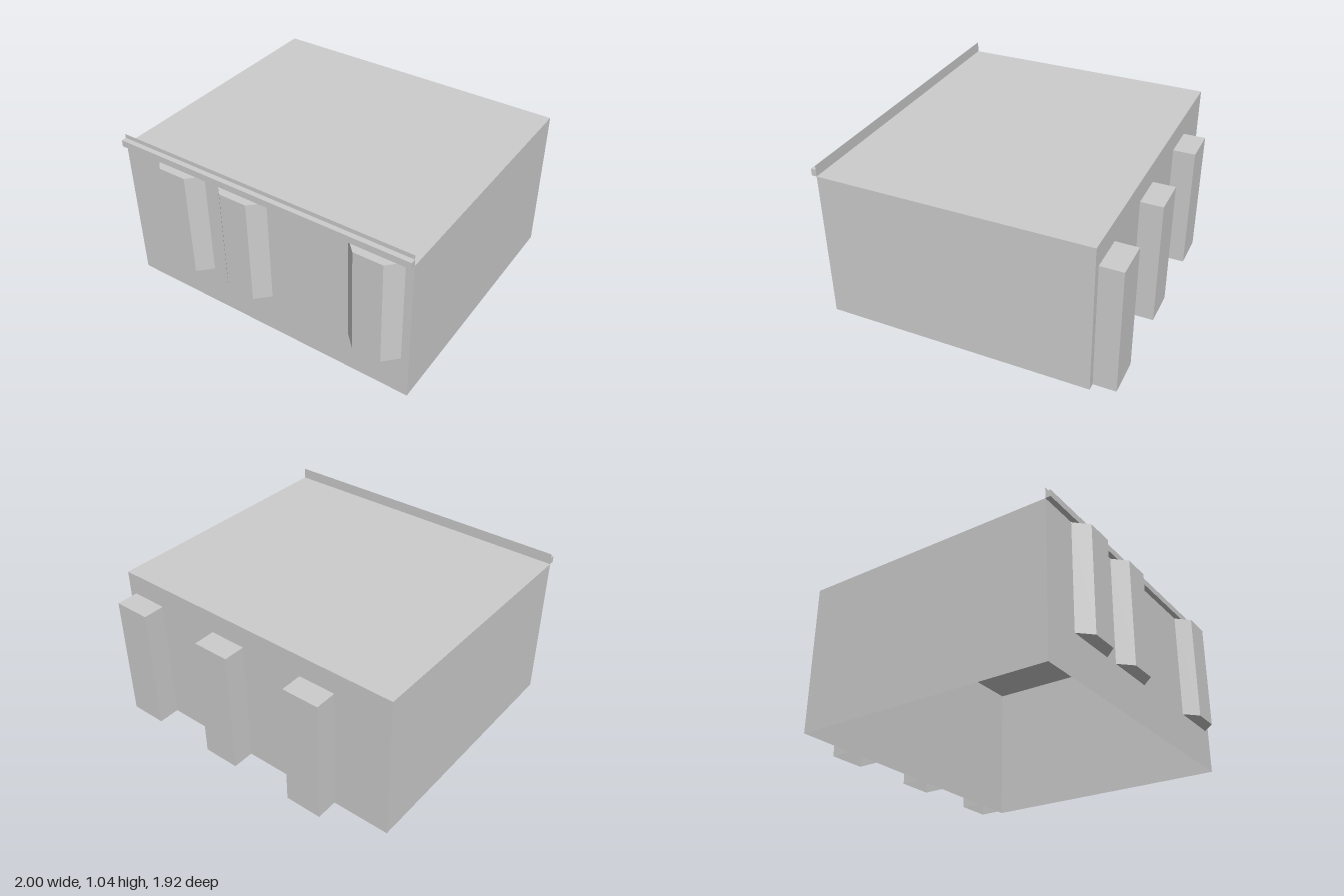
import * as THREE from 'three';

const WALL_TOP = 0.967, FRONT = 0.877, BACK = -0.818;

// Box given by its limits, leaving out the named sides (0 +x, 1 -x, 2 +y, 3 -y, 4 +z, 5 -z)
function openBox(x0, x1, y0, y1, z0, z1, omit = []) {
  const g = new THREE.BoxGeometry(x1 - x0, y1 - y0, z1 - z0);
  const index = Array.from(g.index.array).filter((_, i) => !omit.includes(Math.floor(i / 6)));
  g.setIndex(index);
  g.clearGroups();
  g.translate((x0 + x1) / 2, (y0 + y1) / 2, (z0 + z1) / 2);
  return g;
}

export function createModel() {
  const model = new THREE.Group();
  model.name = 'building';
  const grey = new THREE.MeshStandardMaterial({ color: 0xcccccc, side: THREE.DoubleSide });
  grey.name = 'light grey';

  const add = (name, geometry) => {
    const mesh = new THREE.Mesh(geometry, grey);
    mesh.name = name;
    model.add(mesh);
    return mesh;
  };

  // Hollow main block, open underneath
  add('mainBlock', openBox(-1, 1, 0, WALL_TOP, BACK, FRONT, [3]));

  // Thin parapet rising from the front wall
  const parapet = new THREE.PlaneGeometry(2, 1.037 - WALL_TOP);
  parapet.translate(0, (1.037 + WALL_TOP) / 2, FRONT);
  add('parapet', parapet);

  // Ledge along the front of the parapet
  add('ledge', openBox(-1, 1, WALL_TOP, 1.01, FRONT, 0.91, [5]));

  // Bay windows with slanted sides
  const bayShape = new THREE.Shape([
    new THREE.Vector2(-0.175, -FRONT),
    new THREE.Vector2(-0.093, -0.96),
    new THREE.Vector2(0.093, -0.96),
    new THREE.Vector2(0.175, -FRONT),
  ]);
  const bayGeometry = new THREE.ExtrudeGeometry(bayShape, { depth: WALL_TOP - 0.272, bevelEnabled: false });
  bayGeometry.rotateX(-Math.PI / 2);
  for (const x of [-0.56, -0.112, 0.775]) add('bay', bayGeometry).position.set(x, 0.272, 0);

  // Rear towers, hollow and open underneath
  for (const x of [-0.502, 0.163, 0.832]) {
    add('rearTower', openBox(x - 0.121, x + 0.121, 0, 0.827, -0.96, BACK, [3, 4]));
  }

  return model;
}
